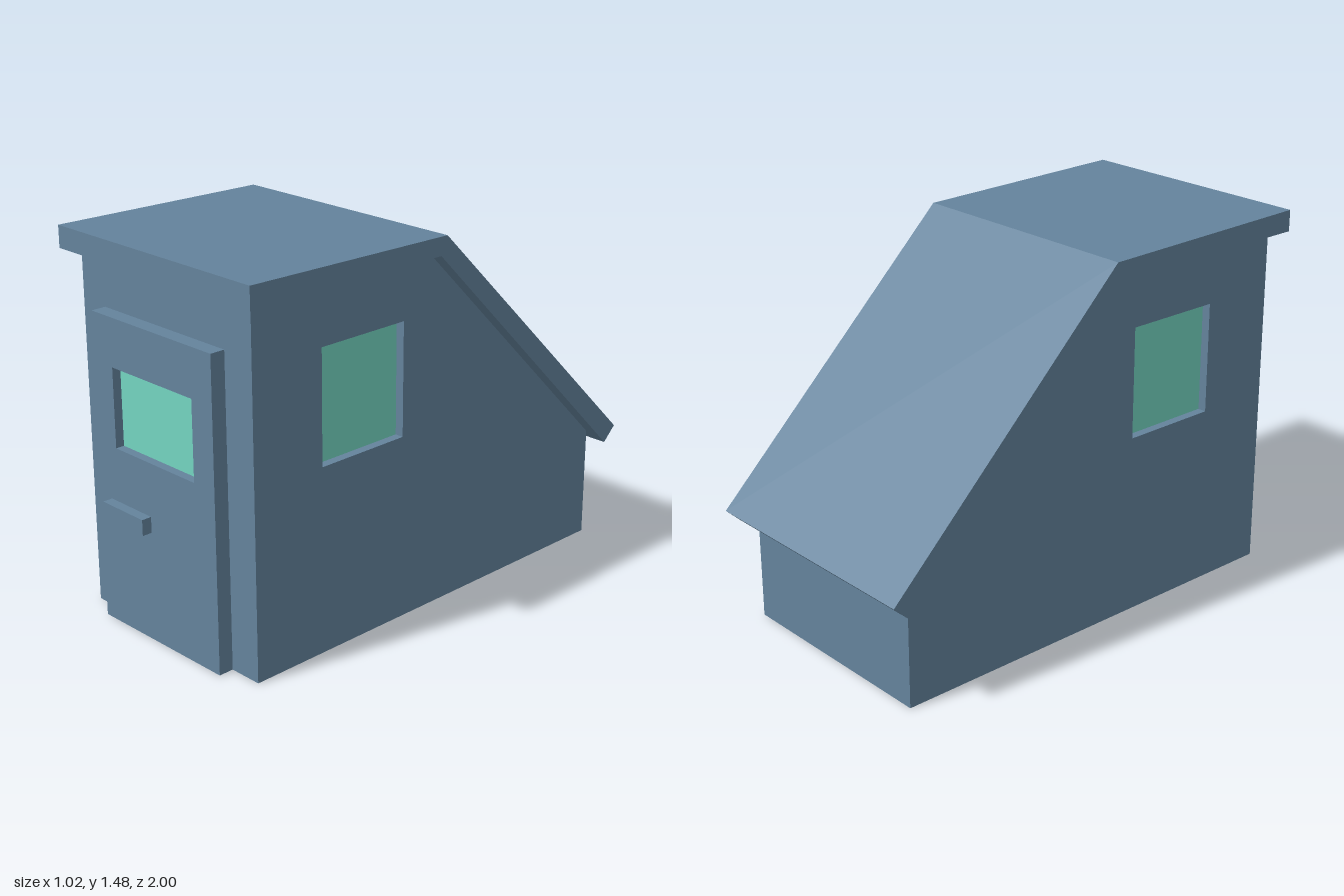
import * as THREE from 'three';

export function createModel() {
  const paint = new THREE.MeshStandardMaterial({ color: 0x64839c, side: THREE.DoubleSide });
  paint.name = 'slate blue paint';
  const glassMat = new THREE.MeshStandardMaterial({ color: 0x74d4c1, side: THREE.DoubleSide });
  glassMat.name = 'mint glass';
  const model = new THREE.Group();
  model.name = 'shed';

  const outline = (pts) => new THREE.Shape(pts.map(([x, y]) => new THREE.Vector2(x, y)));

  function add(parent, name, geometry, material = paint, x = 0, y = 0, z = 0) {
    const mesh = new THREE.Mesh(geometry, material);
    mesh.name = name;
    mesh.position.set(x, y, z);
    parent.add(mesh);
    return mesh;
  }

  // Thin panel in its own xy plane, facing +z, with an optional recessed window
  function panel(name, pts, win) {
    const group = new THREE.Group();
    group.name = name;
    const shape = outline(pts);
    if (win) {
      const [x0, x1, y0, y1] = win;
      const depth = 0.035, w = x1 - x0, h = y1 - y0;
      const cx = (x0 + x1) / 2, cy = (y0 + y1) / 2;
      shape.holes.push(outline([[x0, y0], [x0, y1], [x1, y1], [x1, y0]]));
      for (const s of [-1, 1]) {
        add(group, 'windowJamb', new THREE.PlaneGeometry(depth, h), paint,
          cx + s * w / 2, cy, -depth / 2).rotation.y = -s * Math.PI / 2;
        add(group, 'windowSill', new THREE.PlaneGeometry(w, depth), paint,
          cx, cy + s * h / 2, -depth / 2).rotation.x = s * Math.PI / 2;
      }
      add(group, 'windowGlass', new THREE.PlaneGeometry(w, h), glassMat, cx, cy, -depth);
    }
    add(group, name + 'Panel', new THREE.ShapeGeometry(shape));
    model.add(group);
    return group;
  }

  const W = 0.453, FRONT = 0.9, BACK = -0.895, TOP = 1.39, LOW = 0.445;
  const D0 = -0.33, D1 = 0.317, DTOP = 1.2, DZ = 0.96;

  // Side walls, mirrored, each with a window
  const profile = [[FRONT, 0], [FRONT, TOP], [0.06, TOP], [BACK, LOW], [BACK, 0]];
  const right = panel('rightWall', profile, [0.185, 0.585, 0.725, 1.165]);
  right.rotation.y = -Math.PI / 2;
  right.position.x = -W;
  const left = panel('leftWall', profile.map(([z, y]) => [-z, y]), [-0.585, -0.185, 0.725, 1.165]);
  left.rotation.y = Math.PI / 2;
  left.position.x = W;

  // Front wall with the doorway cut out, and the low back wall
  panel('frontWall', [[-W, 0], [-W, TOP], [W, TOP], [W, 0],
    [D1, 0], [D1, DTOP], [D0, DTOP], [D0, 0]]).position.z = FRONT;
  const back = panel('backWall', [[-W, 0], [-W, LOW], [W, LOW], [W, 0]]);
  back.rotation.y = Math.PI;
  back.position.z = BACK;

  // Door standing proud of the front wall, with its edges and handle
  const door = panel('door', [[D0, 0], [D0, DTOP], [D1, DTOP], [D1, 0]], [-0.225, 0.21, 0.705, 1.013]);
  door.position.z = DZ;
  const t = DZ - FRONT;
  for (const [x, s] of [[D0, -1], [D1, 1]]) {
    add(door, 'doorEdge', new THREE.PlaneGeometry(t, DTOP), paint, x, DTOP / 2, -t / 2)
      .rotation.y = s * Math.PI / 2;
  }
  add(door, 'doorTop', new THREE.PlaneGeometry(D1 - D0, t), paint, (D0 + D1) / 2, DTOP, -t / 2)
    .rotation.x = -Math.PI / 2;
  add(door, 'doorHandle', new THREE.BoxGeometry(0.226, 0.062, 0.04), paint, -0.152, 0.465, 0.02);

  // Bent roof slab running front to back
  const roofShape = outline([[0.953, 1.475], [0.03, 1.46], [-1, 0.457], [-0.94, 0.4], [0.06, TOP], [0.953, TOP]]);
  const roof = add(model, 'roof',
    new THREE.ExtrudeGeometry(roofShape, { depth: 1.024, bevelEnabled: false }), paint, 0.512, 0, 0);
  roof.rotation.y = -Math.PI / 2;

  return model;
}
